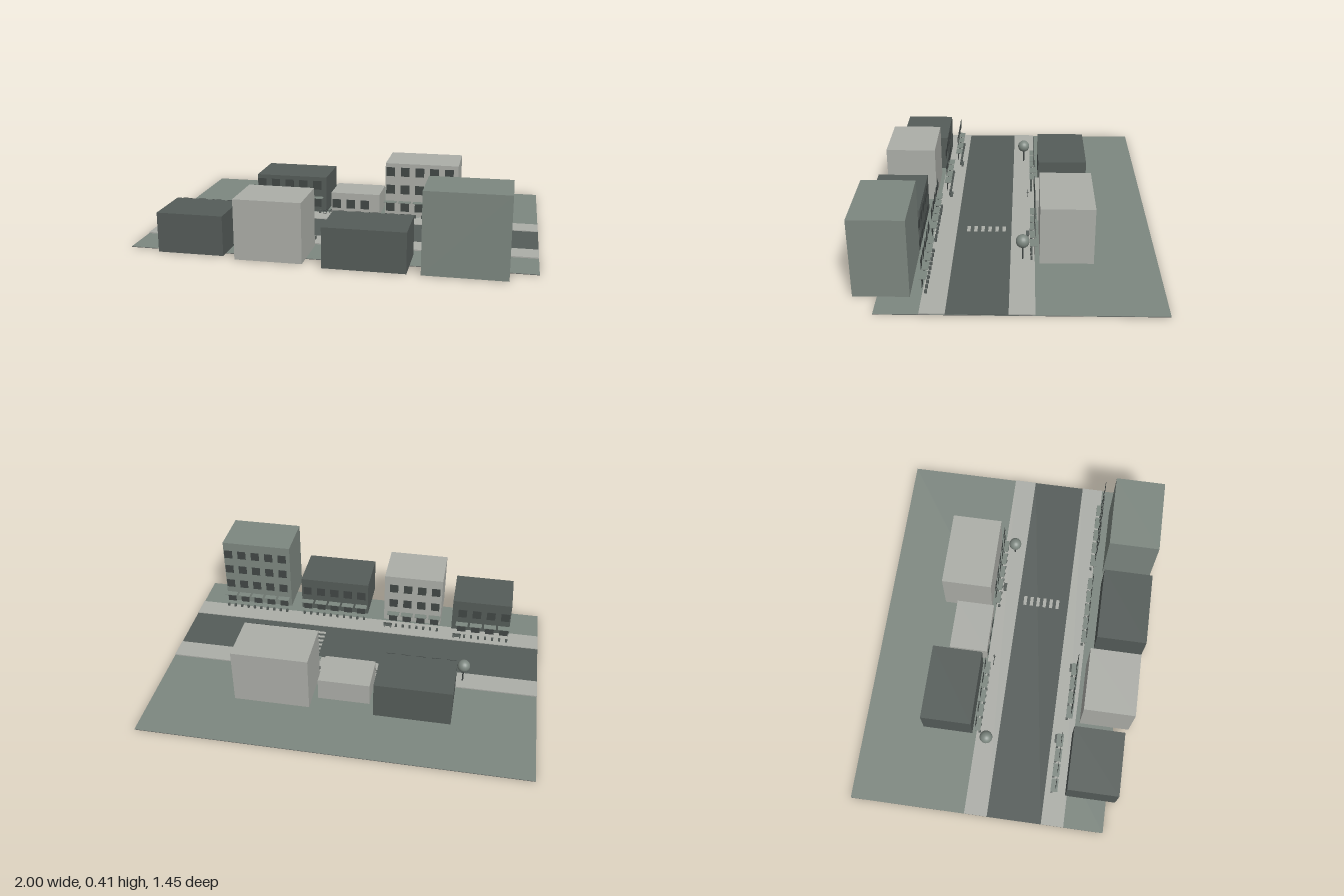
import * as THREE from 'three';

const mat = (name, color, extra = {}) => {
  const m = new THREE.MeshStandardMaterial({ color, ...extra });
  m.name = name;
  return m;
};

export function createModel() {
  const green = mat('grey green', 0x7d8780);
  const dark = mat('dark slate', 0x555c59);
  const light = mat('pale stone', 0xacaea8);
  const glass = mat('window dark', 0x414745);
  const under = mat('base grey', 0x5c5d5c);

  const model = new THREE.Group();
  model.name = 'streetBlock';

  // Box given by its limits on each axis
  function slab(parent, name, material, x0, x1, y0, y1, z0, z1) {
    const mesh = new THREE.Mesh(new THREE.BoxGeometry(x1 - x0, y1 - y0, z1 - z0), material);
    mesh.position.set((x0 + x1) / 2, (y0 + y1) / 2, (z0 + z1) / 2);
    mesh.name = name;
    parent.add(mesh);
    return mesh;
  }
  function group(name, x = 0, y = 0, z = 0) {
    const g = new THREE.Group();
    g.name = name;
    g.position.set(x, y, z);
    model.add(g);
    return g;
  }

  // Ground, road and pavements
  slab(model, 'base', under, -1, 1, 0, 0.002, -0.725, 0.61);
  slab(model, 'lawn', green, -1, 1, 0.002, 0.004, -0.725, 0.61);
  slab(model, 'road', dark, -1, 1, 0.004, 0.006, 0, 0.285);
  slab(model, 'farPavement', light, -1, 1, 0.004, 0.01, -0.12, 0);
  slab(model, 'nearPavement', light, -1, 1, 0.004, 0.01, 0.285, 0.403);

  // Crosswalk stripes
  for (let i = 0; i < 6; i++) {
    const z = 0.039 + i * 0.037;
    slab(model, 'crosswalkStripe', light, 0.208, 0.262, 0.006, 0.007, z - 0.009, z + 0.009);
  }

  // Buildings: walls, a window grid standing before the street face, awnings and planters
  function building({ x0, x1, z0, z1, floors, top, wall, winZ, cols, side, awnings = true }) {
    const g = group('building');
    slab(g, 'walls', wall, x0, x1, 0.004, top, z0, z1);
    for (let c = 0; c < cols; c++) {
      const x = x0 + 0.032 + c * 0.08;
      for (let f = 0; f < floors; f++) {
        const y = 0.064 + f * 0.1;
        slab(g, 'window', glass, x - 0.024, x + 0.024, y - 0.025, y + 0.025, winZ - 0.001, winZ + 0.001);
      }
      if (!awnings) continue;
      const za = winZ + side * 0.006;
      slab(g, 'awning', green, x - 0.034, x + 0.034, 0.092, 0.095, za - 0.018, za + 0.018);
      for (const dx of [-0.02, 0.02]) {
        const zp = winZ + side * 0.016;
        slab(g, 'planter', dark, x + dx - 0.006, x + dx + 0.006, 0.01, 0.026, zp - 0.006, zp + 0.006);
      }
    }
  }
  const near = { side: -1 }, far = { side: 1 };
  [
    { ...near, x0: -0.835, x1: -0.503, z0: 0.393, z1: 0.658, floors: 2, top: 0.205, wall: dark, winZ: 0.336, cols: 4 },
    { ...near, x0: -0.435, x1: -0.102, z0: 0.426, z1: 0.692, floors: 3, top: 0.305, wall: light, winZ: 0.37, cols: 4 },
    { ...near, x0: 0, x1: 0.4, z0: 0.458, z1: 0.725, floors: 2, top: 0.205, wall: dark, winZ: 0.403, cols: 5 },
    { ...near, x0: 0.466, x1: 0.865, z0: 0.458, z1: 0.725, floors: 4, top: 0.405, wall: green, winZ: 0.403, cols: 5 },
    { ...far, x0: -0.57, x1: -0.17, z0: -0.41, z1: -0.143, floors: 2, top: 0.205, wall: dark, winZ: -0.12, cols: 5 },
    { ...far, x0: -0.138, x1: 0.135, z0: -0.33, z1: -0.125, floors: 1, top: 0.125, wall: light, winZ: -0.121, cols: 3, awnings: false },
    { ...far, x0: 0.166, x1: 0.566, z0: -0.41, z1: -0.143, floors: 3, top: 0.305, wall: light, winZ: -0.12, cols: 5 },
  ].forEach(building);

  // Street trees
  for (const x of [-0.603, 0.532]) {
    const g = group('tree', x, 0.01, -0.06);
    const trunk = new THREE.Mesh(new THREE.CylinderGeometry(0.004, 0.004, 0.075, 8), glass);
    trunk.position.y = 0.0375;
    trunk.name = 'trunk';
    const crown = new THREE.Mesh(new THREE.SphereGeometry(0.034, 20, 14), green);
    crown.position.y = 0.1;
    crown.name = 'crown';
    g.add(trunk, crown);
  }

  // Benches facing the road
  for (const [x, z, s] of [[-0.54, 0.311, -1], [-0.135, 0.345, -1], [0.297, -0.085, 1]]) {
    const g = group('bench', x, 0.01, z);
    slab(g, 'seat', dark, -0.024, 0.024, 0.009, 0.012, -0.008, 0.008);
    slab(g, 'backrest', dark, -0.024, 0.024, 0.012, 0.022, -s * 0.008 - 0.001, -s * 0.008 + 0.001);
    for (const lx of [-0.019, 0.019]) slab(g, 'benchLeg', dark, lx - 0.002, lx + 0.002, 0, 0.009, -0.007, 0.007);
  }

  // Parked bicycle
  const bike = group('bicycle', -0.147, 0.01, -0.085);
  for (const x of [-0.019, 0.019]) {
    const wheel = new THREE.Mesh(new THREE.TorusGeometry(0.011, 0.0014, 6, 18), glass);
    wheel.position.set(x, 0.0124, 0);
    wheel.name = 'wheel';
    bike.add(wheel);
  }
  slab(bike, 'frameBar', glass, -0.019, 0.019, 0.019, 0.021, -0.001, 0.001);
  slab(bike, 'handlebar', glass, 0.015, 0.018, 0.027, 0.029, -0.008, 0.008);
  slab(bike, 'saddle', glass, -0.014, -0.006, 0.025, 0.027, -0.002, 0.002);
  slab(bike, 'steeringPost', glass, 0.0155, 0.0175, 0.012, 0.028, -0.001, 0.001);
  slab(bike, 'saddlePost', glass, -0.011, -0.009, 0.012, 0.026, -0.001, 0.001);

  return model;
}
